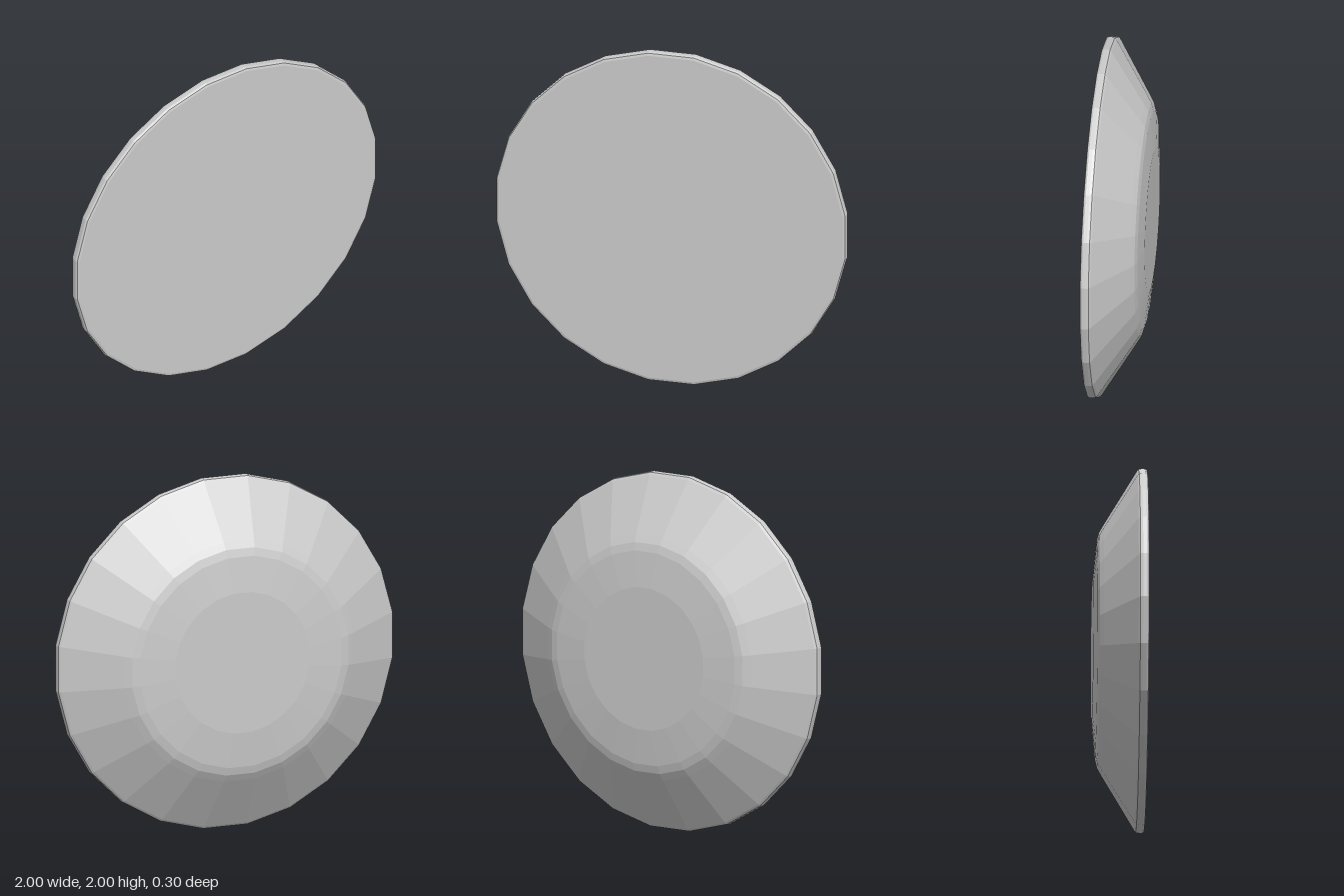
import * as THREE from 'three';

const SIDES = 24;

export function createModel() {
  const group = new THREE.Group();
  group.name = 'shallowDish';

  // Half profile from the back centre to the front centre: [distance to flat side, z]
  const profile = [
    [0, -0.15], [0.4, -0.15], [0.6, -0.13], [0.645, -0.118], [0.685, -0.095], // foot and rounded shoulder
    [0.985, 0.09], [0.997, 0.1], [1, 0.115],                                  // sloping wall up to the rim
    [1, 0.135], [0.994, 0.146], [0.98, 0.15], [0, 0.15],                      // rounded rim and flat front
  ];
  const toCorner = 1 / Math.cos(Math.PI / SIDES);
  const points = profile.map(([r, z]) => new THREE.Vector2(r * toCorner, z));

  // Turned by half a side so that flats lie at the top, bottom, left and right
  const geometry = new THREE.LatheGeometry(points, SIDES, Math.PI / SIDES);
  geometry.rotateX(Math.PI / 2);

  const dish = new THREE.Mesh(
    geometry,
    new THREE.MeshStandardMaterial({ color: 0xcccccc, flatShading: true })
  );
  dish.name = 'dishBody';
  dish.position.y = 1;
  group.add(dish);
  return group;
}
